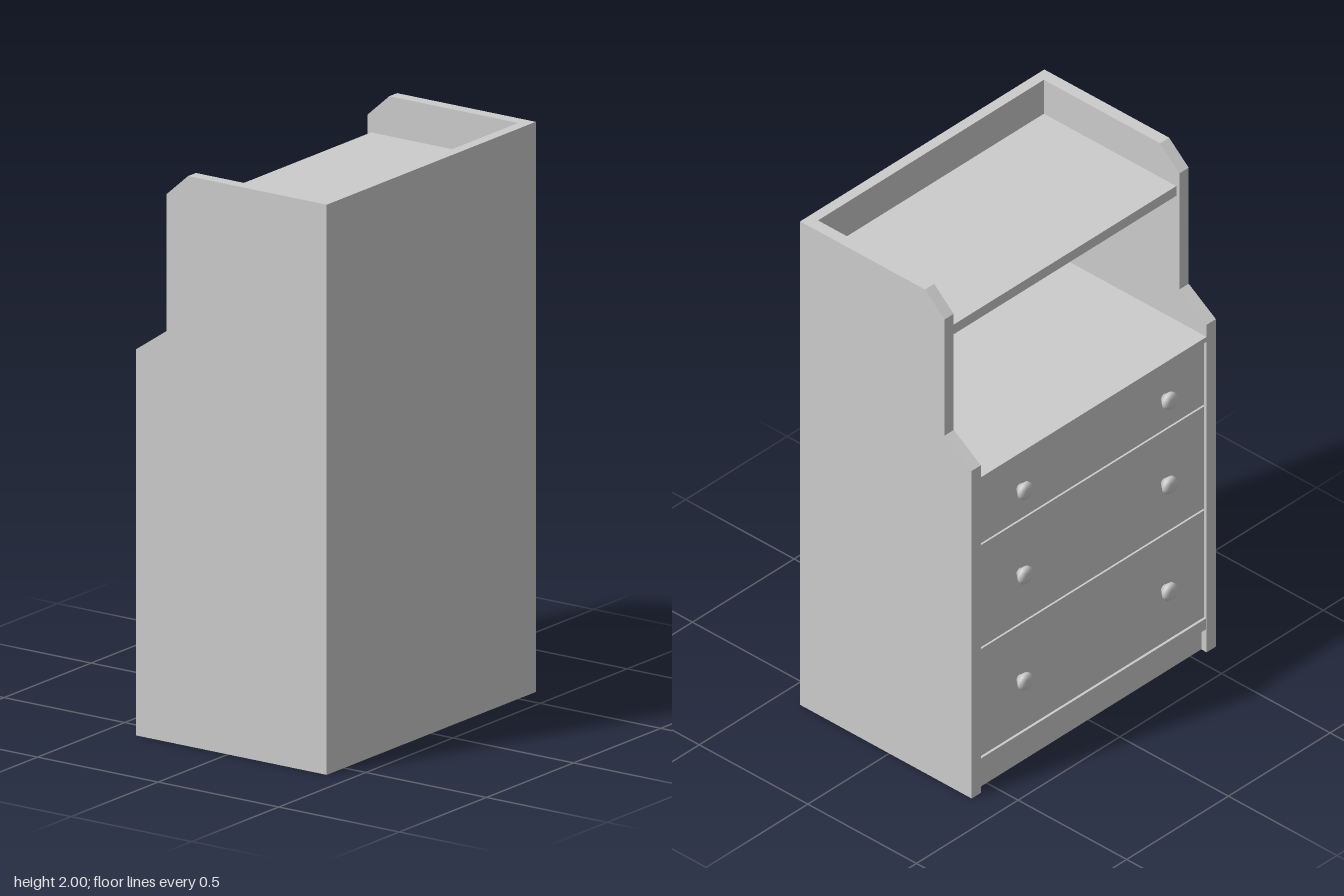
import * as THREE from 'three';

const material = new THREE.MeshStandardMaterial({ color: 0xcccccc });

export function createModel() {
  const group = new THREE.Group();
  group.name = 'chestOfDrawers';

  const add = (name, geometry) => {
    const mesh = new THREE.Mesh(geometry, material);
    mesh.name = name;
    group.add(mesh);
    return mesh;
  };
  // Box given by its limits on each axis
  const box = (name, x0, x1, y0, y1, z0, z1) => {
    const mesh = add(name, new THREE.BoxGeometry(x1 - x0, y1 - y0, z1 - z0));
    mesh.position.set((x0 + x1) / 2, (y0 + y1) / 2, (z0 + z1) / 2);
    return mesh;
  };

  const inner = 0.555, thick = 0.045, backZ = 0.37;

  // Stepped side panels, drawn as (-z, y) and extruded along x
  const profile = [[-0.41, 0], [0.38, 0], [0.38, 1.355], [0.255, 1.44],
    [0.255, 1.92], [0.165, 2], [-0.41, 2]];
  const shape = new THREE.Shape(profile.map(([z, y]) => new THREE.Vector2(z, y)));
  const panel = new THREE.ExtrudeGeometry(shape, { depth: thick, bevelEnabled: false });
  panel.rotateY(Math.PI / 2);
  add('leftSidePanel', panel).position.x = inner;
  add('rightSidePanel', panel).position.x = -inner - thick;

  // Carcass between the side panels
  box('backPanel', -inner, inner, 0, 2, backZ, 0.41);
  box('topShelf', -inner, inner, 1.82, 1.86, -0.24, backZ);
  box('counter', -inner, inner, 1.285, 1.305, -0.38, backZ);
  box('innerBody', -inner, inner, 0.1, 1.285, -0.345, backZ);
  box('bottomRail', -inner, inner, 0.095, 0.14, -0.378, -0.345);
  box('plinth', -inner, inner, 0, 0.1, -0.355, backZ);

  // Rounded knob with a short stem, turned to point out of the drawer
  const knob = new THREE.LatheGeometry([[0, 0], [0.017, 0], [0.017, 0.012], [0.027, 0.013],
    [0.033, 0.02], [0.033, 0.029], [0.027, 0.037], [0.015, 0.04], [0, 0.04]]
    .map(([r, y]) => new THREE.Vector2(r, y)), 20);
  knob.rotateX(-Math.PI / 2);

  // Three drawers, each with a pair of knobs
  const gap = 0.004;
  [[1.02, 1.287], [0.59, 1.02], [0.14, 0.59]].forEach(([y0, y1], i) => {
    box(`drawerFront${i + 1}`, -inner + gap, inner - gap, y0 + gap, y1 - gap, -0.372, -0.34);
    for (const side of [-1, 1]) {
      add(`drawerKnob${i + 1}${side < 0 ? 'Right' : 'Left'}`, knob)
        .position.set(side * 0.355, (y0 + y1) / 2, -0.372);
    }
  });

  return group;
}
